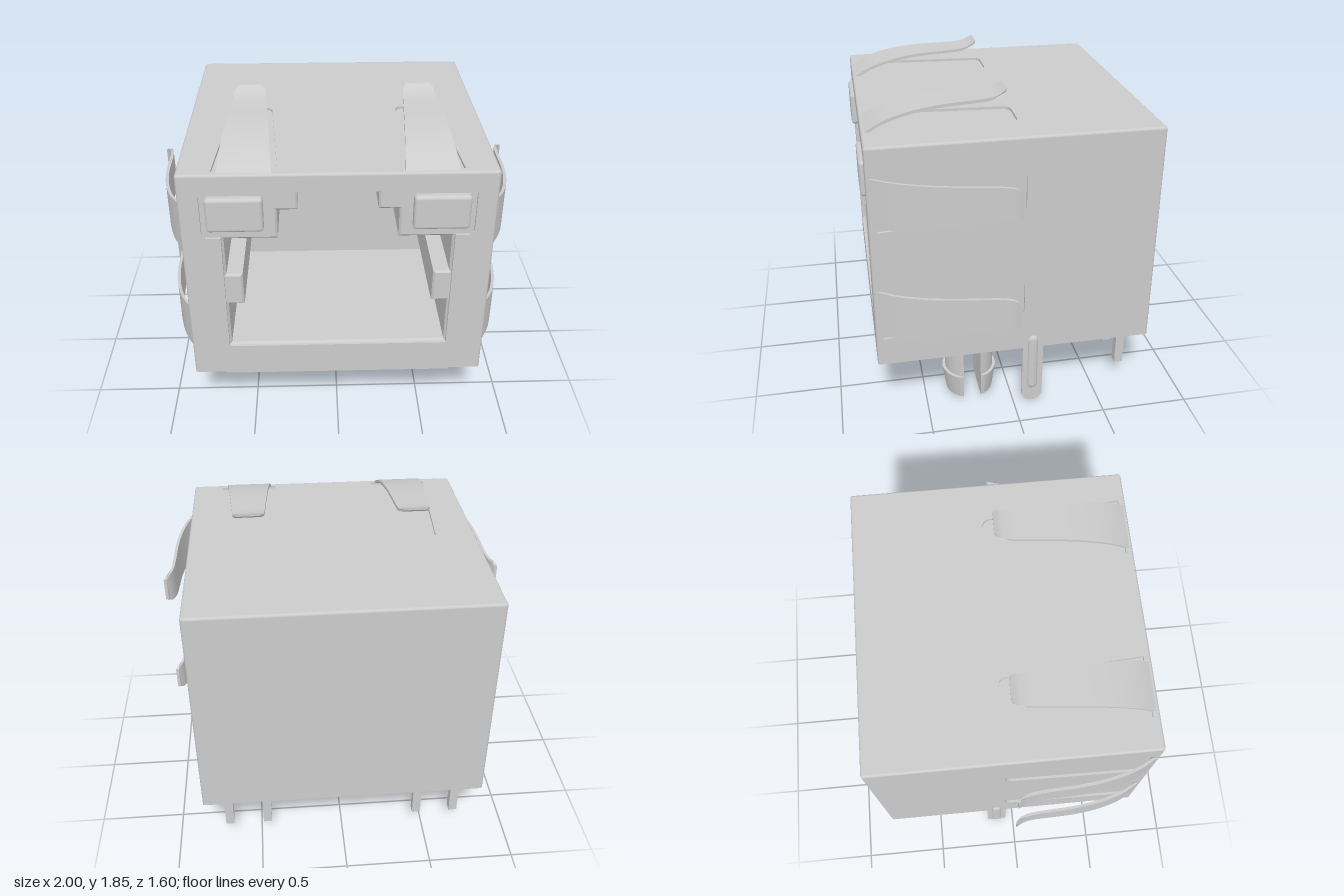
import * as THREE from 'three';
import { toCreasedNormals } from 'three/addons/utils/BufferGeometryUtils.js';
import { RoundedBoxGeometry } from 'three/addons/geometries/RoundedBoxGeometry.js';

const mat = new THREE.MeshStandardMaterial({ color: 0xcccccc });
const W = 0.83, TOP = 1.68, BOT = 0.38, FRONT = 0.775, BACK = -0.8, T = 0.015;

function add(parent, name, geo, x = 0, y = 0, z = 0) {
  const m = new THREE.Mesh(geo, mat);
  m.name = name;
  m.position.set(x, y, z);
  parent.add(m);
  return m;
}

// box given by its limits
function block(parent, name, x0, x1, y0, y1, z0, z1) {
  return add(parent, name, new THREE.BoxGeometry(x1 - x0, y1 - y0, z1 - z0),
    (x0 + x1) / 2, (y0 + y1) / 2, (z0 + z1) / 2);
}

const vecs = pts => pts.map(p => new THREE.Vector2(p[0], p[1]));
// right half of an outline, completed by its mirror image
const mirrored = pts => vecs([...pts, ...pts.map(p => [-p[0], p[1]]).reverse()]);
const rect = (x0, x1, y0, y1) => new THREE.Shape(vecs([[x0, y0], [x1, y0], [x1, y1], [x0, y1]]));
const extrude = (shape, depth, opts = {}) =>
  new THREE.ExtrudeGeometry(shape, { depth, bevelEnabled: false, curveSegments: 10, ...opts });

// tapered spring finger rising from the panel, running along z
function springGeometry() {
  const curve = new THREE.SplineCurve(vecs([[0.765, -0.005], [0.66, 0.052], [0.52, 0.092], [0.36, 0.114],
    [0.2, 0.121], [0.1, 0.127], [0.04, 0.142], [0, 0.168]]));
  const up = curve.getPoints(36);
  const low = up.map(p => new THREE.Vector2(p.x, p.y - 0.017)).reverse();
  const g = extrude(new THREE.Shape([...up, ...low]), 1);
  const p = g.attributes.position;
  for (let i = 0; i < p.count; i++) {
    const u = p.getX(i);
    const half = 0.085 + 0.072 * u - Math.max(0, 0.025 - u) * 0.7;
    p.setZ(i, (p.getZ(i) - 0.5) * 2 * half);
  }
  g.rotateY(-Math.PI / 2);
  return toCreasedNormals(g, 0.6);
}

// tapered window with a rounded rear end
function windowPath(cx) {
  const h = new THREE.Path();
  h.moveTo(cx - 0.17, 0.735);
  h.lineTo(cx + 0.17, 0.735);
  h.lineTo(cx + 0.12, -0.005);
  h.quadraticCurveTo(cx + 0.117, -0.055, cx + 0.07, -0.055);
  h.lineTo(cx - 0.07, -0.055);
  h.quadraticCurveTo(cx - 0.117, -0.055, cx - 0.12, -0.005);
  h.closePath();
  return h;
}

// shield panel with two windows and springs, facing +y before rotation
function springPanel(name, x0, x1, centres, level, roll) {
  const g = new THREE.Group();
  g.name = name;
  const s = rect(x0, x1, BACK + T, FRONT - T);
  centres.forEach(c => s.holes.push(windowPath(c)));
  add(g, 'shieldPanel', extrude(s, T).rotateX(Math.PI / 2), 0, level, 0);
  centres.forEach(c => add(g, 'springFinger', springGeometry(), c, level, 0));
  g.rotation.z = roll;
  return g;
}

// half of a slotted, tapered locating peg; cut flat towards the slot
function pegHalf(rTop, rBottom, height) {
  const a = Math.asin(0.05 / rTop);
  const s = new THREE.Shape();
  s.absarc(0, 0, rTop, a, Math.PI - a, false);
  s.closePath();
  const g = extrude(s, height, { curveSegments: 20 });
  const p = g.attributes.position;
  for (let i = 0; i < p.count; i++) {
    const k = 1 + (rBottom / rTop - 1) * p.getZ(i) / height;
    p.setX(i, THREE.MathUtils.clamp(p.getX(i) * k, -0.136, 0.136));
    p.setY(i, Math.max(0.05, p.getY(i) * k));
  }
  return toCreasedNormals(g.rotateX(Math.PI / 2), 0.6);
}

export function createModel() {
  const root = new THREE.Group();
  root.name = 'shieldedJack';

  // housing with the stepped, keyed plug cavity
  const core = rect(-W + T, W - T, BOT, TOP - T);
  core.holes.push(new THREE.Path(mirrored([[0.608, 0.582], [0.608, 0.86], [0.52, 0.86], [0.52, 1.06],
    [0.608, 1.06], [0.608, 1.288], [0.32, 1.288], [0.32, 1.46], [0.21, 1.46], [0.21, 1.565]])));
  const b = 0.012;
  add(root, 'housing', extrude(core, 0.96 - 2 * b,
    { bevelEnabled: true, bevelSize: b, bevelThickness: b, bevelOffset: -b, bevelSegments: 1 }), 0, 0, -0.2 + b);
  block(root, 'rearHousing', -W + T, W - T, BOT, TOP - T, BACK + T, -0.18)
    .scale.z = 1;

  // front shield frame and rear shield
  const frame = rect(-W + T, W - T, BOT, TOP - T);
  frame.holes.push(new THREE.Path(mirrored([[0.62, 0.57], [0.62, 1.302], [0.7, 1.302], [0.72, 1.322],
    [0.72, 1.555], [0.7, 1.575]])));
  add(root, 'frontShield', extrude(frame, T), 0, 0, FRONT - T);
  block(root, 'rearShield', -W + T, W - T, BOT, TOP - T, BACK, BACK + T);

  // top and side shields
  root.add(springPanel('topShield', -W + T, W - T, [-0.48, 0.48], TOP, 0));
  root.add(springPanel('leftShield', -TOP + T, -BOT, [-1.375, -0.715], W, -Math.PI / 2));
  root.add(springPanel('rightShield', BOT, TOP - T, [1.375, 0.715], W, Math.PI / 2));

  // rounded shield edges
  const rod = len => new THREE.CylinderGeometry(T, T, len, 16);
  const zMid = (FRONT + BACK) / 2, zLen = FRONT - BACK - 2 * T;
  for (const z of [FRONT - T, BACK + T]) {
    add(root, 'shieldEdge', rod(2 * (W - T)).rotateZ(Math.PI / 2), 0, TOP - T, z);
    for (const s of [-1, 1]) {
      add(root, 'shieldEdge', rod(TOP - T - BOT), s * (W - T), (TOP - T + BOT) / 2, z);
      add(root, 'shieldCorner', new THREE.SphereGeometry(T, 12, 8), s * (W - T), TOP - T, z);
    }
  }

  // folded flange under the front
  const flange = new THREE.Shape(mirrored([[0.65, FRONT - 0.005], [0.65, 0.6], [0.57, 0.5]]));
  add(root, 'bottomFlange', extrude(flange, T + 0.005).rotateX(Math.PI / 2), 0, BOT + 0.005, 0);

  for (const s of [-1, 1]) {
    add(root, 'shieldEdge', rod(zLen).rotateX(Math.PI / 2), s * (W - T), TOP - T, zMid);

    // indicator lamp
    add(root, 'indicatorLamp', new RoundedBoxGeometry(0.3, 0.2, 0.12, 3, 0.02), s * 0.54, 1.45, 0.74);

    // split locating peg and its rib
    const peg = new THREE.Group();
    peg.name = 'locatingPeg';
    peg.position.set(s * 0.64, 0, 0.235);
    for (const turn of [0, Math.PI]) {
      add(peg, 'pegShaft', pegHalf(0.14, 0.14, 0.22), 0, 0.39, 0).rotation.y = turn;
      add(peg, 'pegBarb', pegHalf(0.157, 0.136, 0.15), 0, 0.18, 0).rotation.y = turn;
    }
    add(peg, 'pegBase', new THREE.CylinderGeometry(0.13, 0.13, 0.04, 32), 0, 0.37, 0);
    root.add(peg);
    block(root, 'bottomRib', s * 0.64 - 0.02, s * 0.64 + 0.02, 0.35, 0.39, -0.22, 0.12);

    // ground tab with rounded foot and embossed bead
    const tab = new THREE.Shape();
    tab.moveTo(0.06, 0.42);
    tab.lineTo(-0.06, 0.42);
    tab.lineTo(-0.06, 0.06);
    tab.absarc(0, 0.06, 0.06, Math.PI, 2 * Math.PI, false);
    tab.closePath();
    add(root, 'groundTab', extrude(tab, T).rotateY(Math.PI / 2), s > 0 ? W - T : -W, 0, -0.11);
    const bead = new THREE.CapsuleGeometry(0.03, 0.31, 6, 16);
    bead.scale(0.6, 1, 1);
    add(root, 'tabBead', bead, s * (W - 0.003), 0.275, -0.11);

    // lamp pins at the rear
    for (const x of [0.46, 0.69])
      block(root, 'lampPin', s * x - 0.025, s * x + 0.025, 0.11, 0.4, -0.705, -0.655);
  }

  // two staggered rows of contact pins
  for (let i = 0; i < 8; i++) {
    const x = (i - 3.5) * 0.103, z = i % 2 ? -0.025 : -0.195;
    block(root, 'contactPin', x - 0.021, x + 0.021, 0.11, 0.4, z - 0.022, z + 0.022);
  }
  return root;
}
